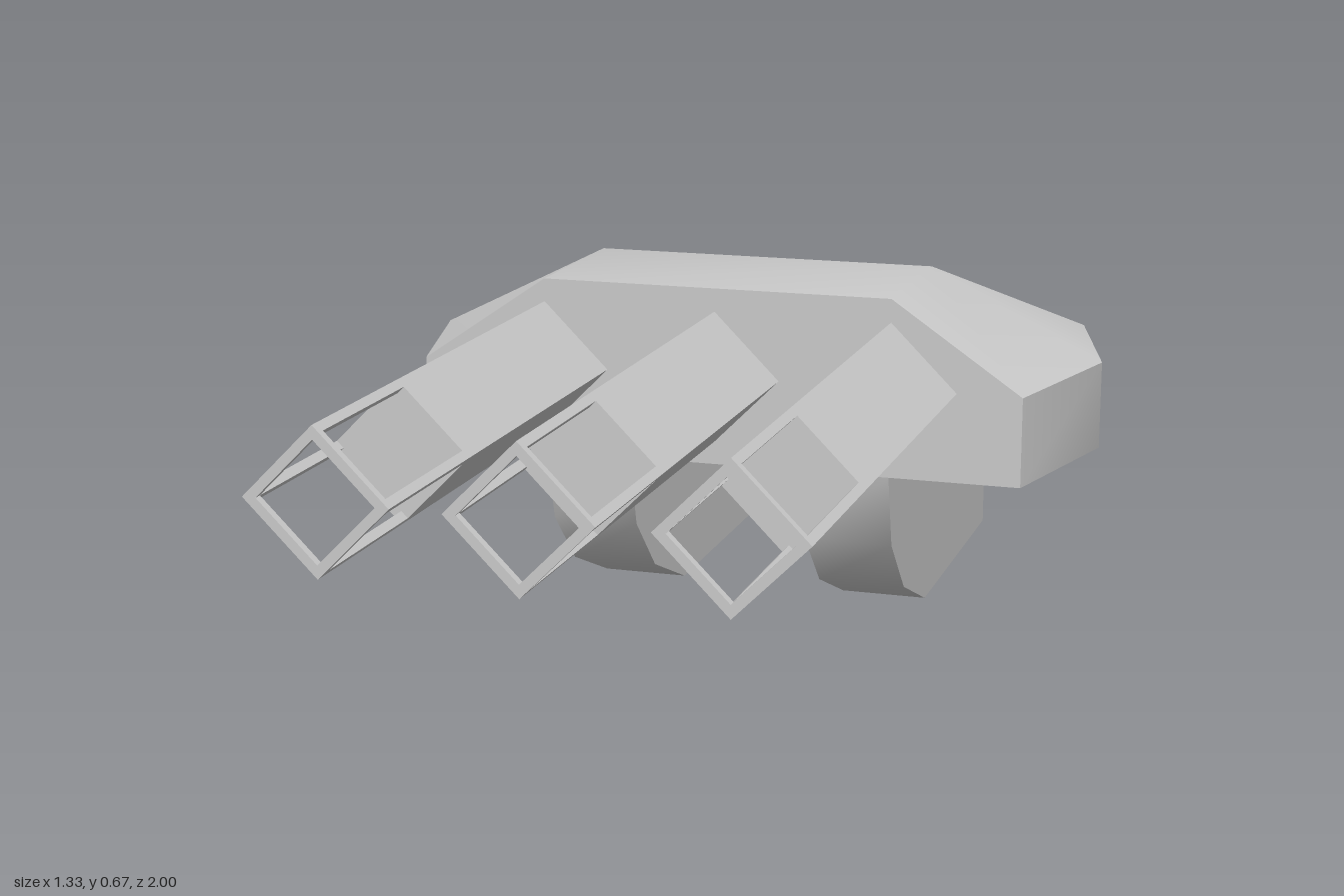
import * as THREE from 'three';
import { toCreasedNormals } from 'three/addons/utils/BufferGeometryUtils.js';

const material = new THREE.MeshStandardMaterial({ color: 0xcccccc });
const T = 1 / 3;

function mesh(geometry, name) {
  const m = new THREE.Mesh(geometry, material);
  m.name = name;
  return m;
}

// Housing: nine points of a twelve-sided ring, cut flat at the front, with a sloped roof
function housingGeometry() {
  const low = [], high = [], n = 9;
  for (let i = 0; i < n; i++) {
    const a = THREE.MathUtils.degToRad(210 - 30 * i);
    const x = 2 * T * Math.cos(a), z = -T - 2 * T * Math.sin(a);
    low.push([x, T, z]);
    high.push([x, 0.5, z]);
  }
  const roof = [[-T, 2 * T, 0], [T, 2 * T, 0], [T, 2 * T, -T], [-T, 2 * T, -T]];
  const [frontR, frontL, backL, backR] = roof;
  const pos = [];
  // Adds a convex polygon as a fan
  const face = (...p) => {
    for (let i = 1; i < p.length - 1; i++) pos.push(...p[0], ...p[i], ...p[i + 1]);
  };
  for (let i = 0; i < n - 1; i++) {
    face(low[i + 1], low[i], high[i], high[i + 1]);
    face(i < 4 ? backR : backL, high[i + 1], high[i]);
  }
  face(...low);
  face(low[0], low[8], high[8], frontL, frontR, high[0]);
  face(...roof);
  face(backR, backL, high[4]);
  face(frontR, backR, high[0]);
  face(frontL, high[8], backL);
  const g = new THREE.BufferGeometry();
  g.setAttribute('position', new THREE.Float32BufferAttribute(pos, 3));
  return toCreasedNormals(g, 0.65);
}

// Foot: side profile with a rounded front, its back following the housing wall
function footGeometry(x0) {
  const profile = [[0, T], [0.035, 0.193], [0.145, 0.08], [T, 0], [0.95, 0], [0.95, T]];
  const shape = new THREE.Shape(profile.map(p => new THREE.Vector2(...p)));
  const g = new THREE.ExtrudeGeometry(shape, { depth: T / 2, bevelEnabled: false });
  g.rotateY(Math.PI / 2).translate(x0, 0, 0);
  const p = g.attributes.position;
  for (let i = 0; i < p.count; i++) {
    if (p.getZ(i) < -0.9) p.setZ(i, -1 + 0.268 * Math.abs(p.getX(i)));
  }
  return toCreasedNormals(g, 0.7);
}

function square(PathType, h) {
  return new PathType([[-h, -h], [h, -h], [h, h], [-h, h]].map(p => new THREE.Vector2(...p)));
}

// Barrel: square beam standing on its edge, with an open cage at the muzzle
function makeBarrel(x) {
  const barrel = new THREE.Group();
  const half = 0.0872, bar = 0.0163, beamEnd = 0.68, ringStart = 0.985;
  const beam = mesh(new THREE.BoxGeometry(2 * half, 2 * half, beamEnd), 'barrelBeam');
  beam.position.z = beamEnd / 2;
  barrel.add(beam);

  const length = ringStart - beamEnd;
  for (const sx of [-1, 1]) for (const sy of [-1, 1]) {
    const post = mesh(new THREE.BoxGeometry(bar, bar, length), 'muzzlePost');
    post.position.set(sx * (half - bar / 2), sy * (half - bar / 2), beamEnd + length / 2);
    barrel.add(post);
  }

  const outline = square(THREE.Shape, half);
  outline.holes.push(square(THREE.Path, half - bar));
  const ring = mesh(new THREE.ExtrudeGeometry(outline, { depth: 1 - ringStart, bevelEnabled: false }), 'muzzleRing');
  ring.position.z = ringStart;
  barrel.add(ring);

  barrel.name = 'barrel';
  barrel.position.set(x, 0.5, 0);
  barrel.rotation.z = Math.PI / 4;
  return barrel;
}

export function createModel() {
  const model = new THREE.Group();
  model.name = 'turret';
  model.add(mesh(housingGeometry(), 'housing'));
  model.add(mesh(footGeometry(T / 2), 'leftFoot'));
  model.add(mesh(footGeometry(-T), 'rightFoot'));
  for (const x of [-T, 0, T]) model.add(makeBarrel(x));
  return model;
}
